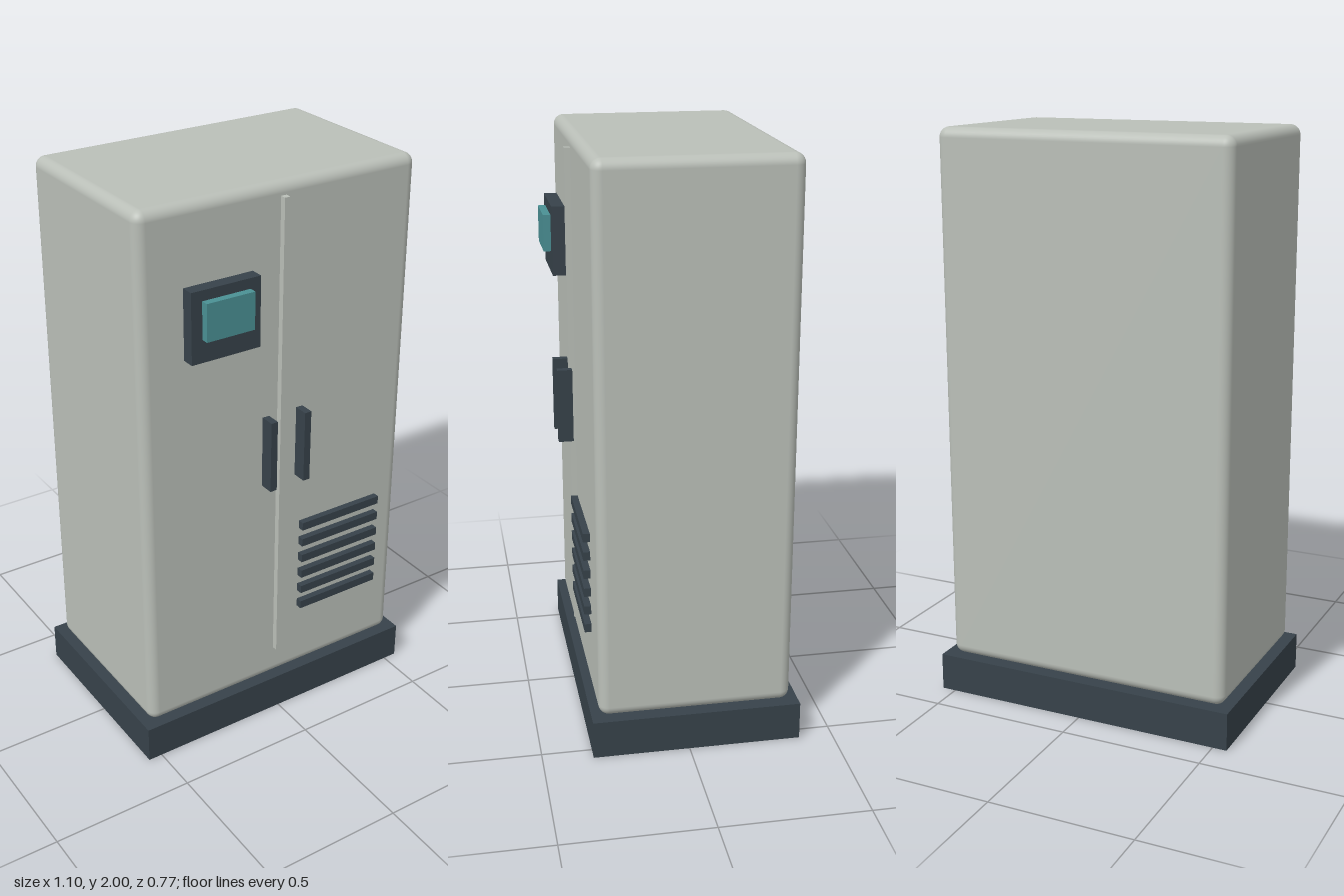
import * as THREE from 'three';
import { RoundedBoxGeometry } from 'three/addons/geometries/RoundedBoxGeometry.js';

function material(name, color) {
  const m = new THREE.MeshStandardMaterial({ color });
  m.name = name;
  return m;
}

export function createModel() {
  const group = new THREE.Group();
  group.name = 'electricalCabinet';
  const shell = material('light grey paint', 0xbabfb8);
  const dark = material('dark slate', 0x37424a);
  const glass = material('teal screen', 0x4a9094);

  // Box given by its min and max on each axis; a radius rounds its edges
  function box(name, mat, [x0, x1], [y0, y1], [z0, z1], radius = 0) {
    const size = [x1 - x0, y1 - y0, z1 - z0];
    const geometry = radius
      ? new RoundedBoxGeometry(...size, 5, radius)
      : new THREE.BoxGeometry(...size);
    const mesh = new THREE.Mesh(geometry, mat);
    mesh.name = name;
    mesh.position.set((x0 + x1) / 2, (y0 + y1) / 2, (z0 + z1) / 2);
    group.add(mesh);
  }

  // Plinth and rounded cabinet
  box('plinth', dark, [-0.55, 0.55], [0, 0.132], [-0.384, 0.329]);
  box('cabinetBody', shell, [-0.522, 0.522], [0.132, 2], [-0.356, 0.303], 0.035);

  // Strip between the two doors
  box('doorSeam', shell, [-0.01, 0.01], [0.25, 1.957], [0.3, 0.324]);

  // Control panel on the right door
  box('panelBezel', dark, [-0.37, -0.118], [1.5, 1.74], [0.312, 0.357]);
  box('panelScreen', glass, [-0.331, -0.156], [1.578, 1.705], [0.355, 0.383]);

  // Mirrored door handles
  for (const [name, x] of [['rightHandle', -0.067], ['leftHandle', 0.067]]) {
    box(name, dark, [x - 0.0125, x + 0.0125], [0.963, 1.22], [0.32, 0.371]);
  }

  // Vent slats on the left door
  for (let i = 0; i < 6; i++) {
    const y = 0.418 + i * 0.066;
    box('ventSlat' + (i + 1), dark, [0.085, 0.416], [y - 0.015, y + 0.015], [0.312, 0.335]);
  }

  return group;
}
